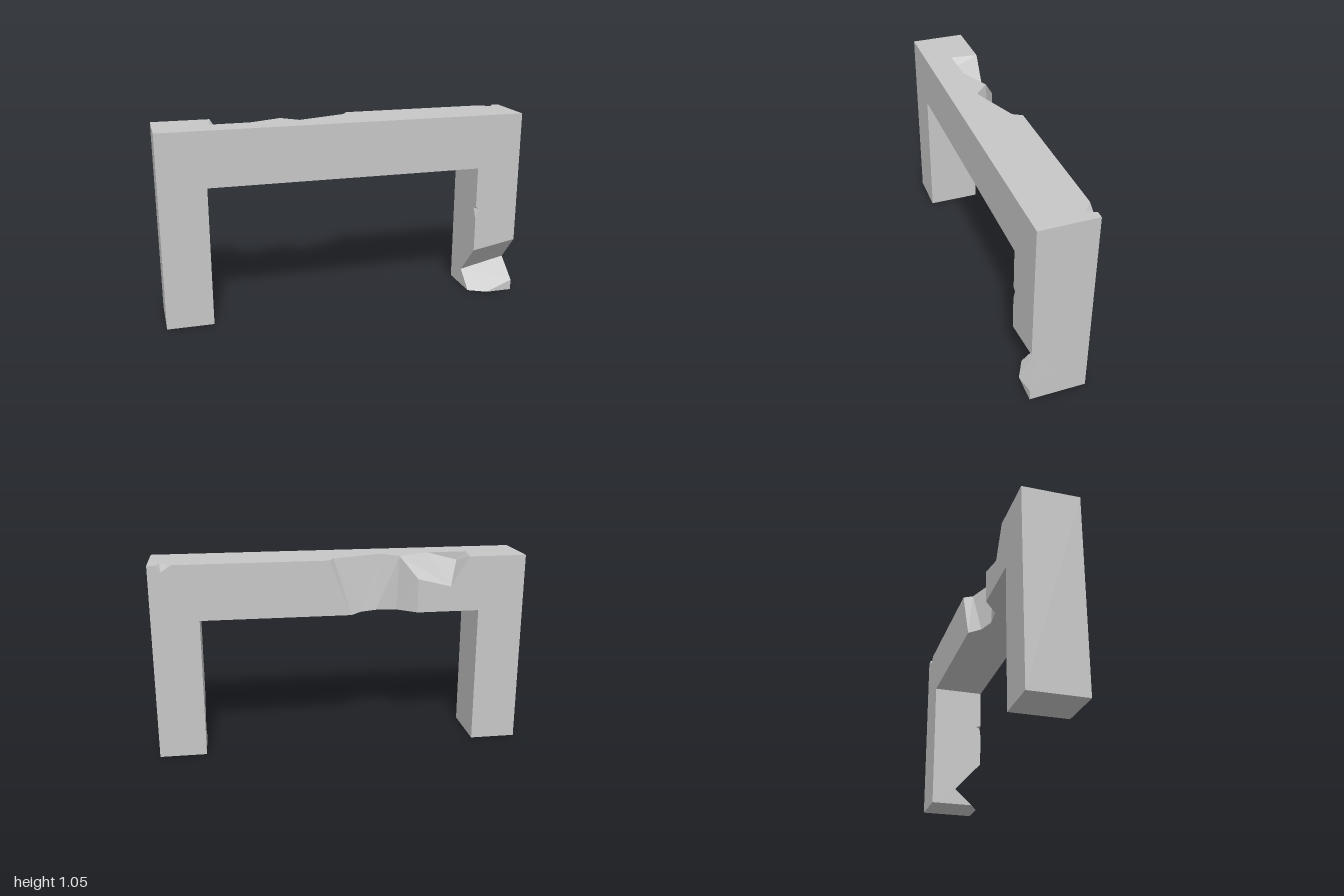
import * as THREE from 'three';

const T = 1.055, B = 0.757, D = 0.15; // top, underside of beam, half depth

const stone = new THREE.MeshStandardMaterial({ color: 0xc6c6c6 });
stone.name = 'grey stone';

// Builds a faceted solid; each face is [outward direction, corner, corner, ...]
function solid(name, faces) {
  const pos = [];
  for (const [dir, ...corners] of faces) {
    const out = new THREE.Vector3(...dir);
    const pts = corners.map((c) => new THREE.Vector3(...c));
    // Flatten along the dominant axis to triangulate
    const a = dir.map(Math.abs);
    const drop = a.indexOf(Math.max(...a));
    const [u, v] = [0, 1, 2].filter((i) => i !== drop);
    const flat = corners.map((c) => new THREE.Vector2(c[u], c[v]));
    for (const tri of THREE.ShapeUtils.triangulateShape(flat, [])) {
      const [p, q, r] = tri.map((i) => pts[i]);
      const n = q.clone().sub(p).cross(r.clone().sub(p));
      const order = n.dot(out) < 0 ? [p, r, q] : [p, q, r];
      order.forEach((w) => pos.push(w.x, w.y, w.z));
    }
  }
  const geo = new THREE.BufferGeometry();
  geo.setAttribute('position', new THREE.Float32BufferAttribute(pos, 3));
  geo.computeVertexNormals();
  const mesh = new THREE.Mesh(geo, stone);
  mesh.name = name;
  return mesh;
}

// Flat faces lying in a plane of constant x, y or z
const atX = (x, s, yz) => [[s, 0, 0], ...yz.map(([y, z]) => [x, y, z])];
const atY = (y, s, xz) => [[0, s, 0], ...xz.map(([x, z]) => [x, y, z])];
const atZ = (z, s, xy) => [[0, 0, s], ...xy.map(([x, y]) => [x, y, z])];

function makeIntactLeg() {
  const plan = [[-1, -D], [-0.75, -D], [-0.75, D], [-1, D]];
  const wall = [[-1, 0], [-0.75, 0], [-0.75, T], [-1, T]];
  const side = (h) => [[0, -D], [h, -D], [h, D], [0, D]];
  return solid('intactLeg', [
    atY(T, 1, plan), atY(0, -1, plan),
    atZ(D, 1, wall), atZ(-D, -1, wall),
    atX(-1, -1, side(T)), atX(-0.75, 1, side(B)),
  ]);
}

function makeBeam() {
  return solid('brokenBeam', [
    atZ(D, 1, [[-0.75, B], [0.75, B], [0.75, T], [-0.75, T]]),
    atY(T, 1, [[-0.75, D], [0.75, D], [0.75, -D], [0.07, -D], [0.04, -0.1], [-0.23, 0],
      [-0.32, -0.08], [-0.49, -0.004], [-0.71, 0], [-0.69, -D], [-0.75, -D]]),
    atY(B, -1, [[-0.75, D], [0.75, D], [0.75, -D], [-0.05, -D], [-0.11, -0.09],
      [-0.2, -0.06], [-0.31, -0.07], [-0.41, -D], [-0.75, -D]]),
    atZ(-D, -1, [[0.75, T], [0.07, T], [-0.05, B], [0.75, B]]),
    atZ(-D, -1, [[-0.75, T], [-0.69, T], [-0.59, 0.895], [-0.41, 0.94], [-0.41, B], [-0.75, B]]),
    // Shallow chip out of the upper back edge
    [[1, 0.6, 0], [-0.71, T, 0], [-0.69, T, -D], [-0.59, 0.895, -D], [-0.66, 1.01, 0]],
    [[0, 0, -1], [-0.71, T, 0], [-0.66, 1.01, 0], [-0.49, T, -0.004]],
    [[0, 1, -0.9], [-0.66, 1.01, 0], [-0.49, T, -0.004], [-0.32, T, -0.08],
      [-0.41, 0.94, -D], [-0.59, 0.895, -D]],
    // Deep chip running the full height of the back
    [[1, 0, -0.9], [-0.32, T, -0.08], [-0.41, 0.94, -D], [-0.41, B, -D], [-0.31, B, -0.07]],
    [[0, 0, -1], [-0.32, T, -0.08], [-0.31, B, -0.07], [-0.2, B, -0.06], [-0.23, T, 0]],
    [[0, 0, -1], [-0.23, T, 0], [-0.2, B, -0.06], [-0.11, B, -0.09], [0.04, T, -0.1]],
    [[-1, 0, -0.9], [0.04, T, -0.1], [-0.11, B, -0.09], [-0.05, B, -D], [0.07, T, -D]],
  ]);
}

function makeBrokenLeg() {
  return solid('brokenLeg', [
    atZ(D, 1, [[0.75, T], [1, T], [1, 0.315], [0.75, 0.27], [0.75, 0.46], [0.77, 0.52], [0.75, 0.53]]),
    atZ(D, 1, [[1, 0.06], [0.85, 0], [1, 0]]),
    atZ(-D, -1, [[0.75, 0], [1, 0], [1, T], [0.96, T], [0.93, 1.02], [0.88, T], [0.75, T]]),
    atY(T, 1, [[0.75, D], [1, D], [1, -D], [0.96, -D], [0.94, -0.1], [0.88, -D], [0.75, -D]]),
    atY(0, -1, [[0.75, -D], [1, -D], [1, D], [0.85, D], [0.75, 0.097]]),
    atX(1, 1, [[0, -D], [T, -D], [T, D], [0.315, D], [0.165, 0.02], [0.06, D], [0, D]]),
    atX(0.75, -1, [[0, -D], [B, -D], [B, D], [0.53, D], [0.52, 0.12], [0.46, D],
      [0.27, D], [0.095, -0.01], [0, 0.097]]),
    // Wedge broken out near the foot
    [[0, -0.9, 1], [0.75, 0.27, D], [1, 0.315, D], [1, 0.165, 0.02], [0.75, 0.095, -0.01]],
    [[0, 1, 0.9], [0.75, 0.095, -0.01], [1, 0.165, 0.02], [1, 0.06, D], [0.85, 0, D], [0.75, 0, 0.097]],
    // Small nick on the inner front edge
    [[0, -1, 0], [0.75, 0.53, D], [0.77, 0.52, D], [0.75, 0.52, 0.12]],
    [[-1, 0, 0.9], [0.77, 0.52, D], [0.75, 0.46, D], [0.75, 0.52, 0.12]],
    // Small nick on the top back edge
    [[-1, 0.5, -0.5], [0.96, T, -D], [0.94, T, -0.1], [0.93, 1.02, -D]],
    [[0, 1, -0.9], [0.88, T, -D], [0.94, T, -0.1], [0.93, 1.02, -D]],
  ]);
}

export function createModel() {
  const group = new THREE.Group();
  group.name = 'brokenStoneGateway';
  group.add(makeIntactLeg(), makeBeam(), makeBrokenLeg());
  return group;
}
